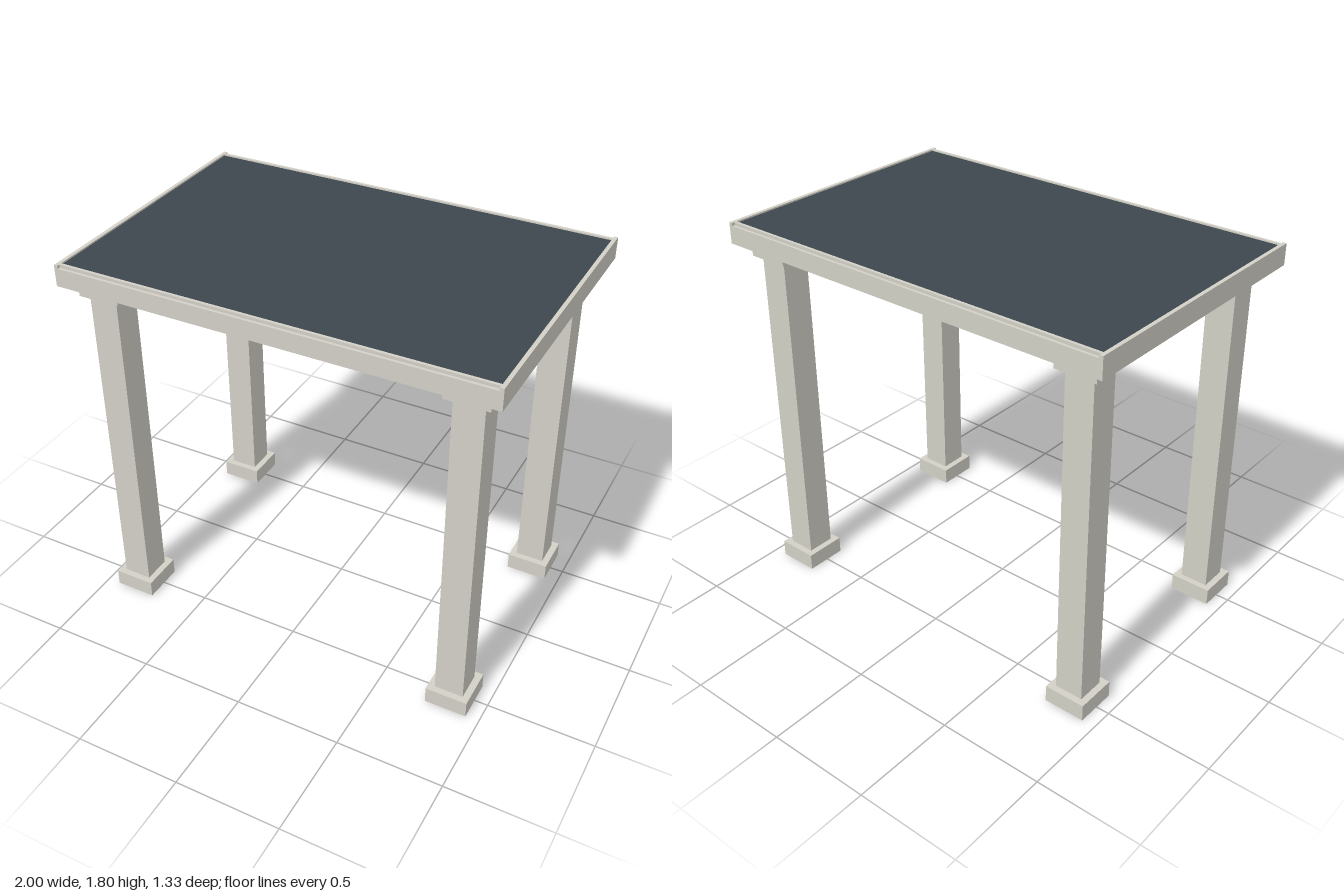
import * as THREE from 'three';

export function createModel() {
  const group = new THREE.Group();
  const stone = new THREE.MeshStandardMaterial({ color: 0xd2d0c6 });
  const slate = new THREE.MeshStandardMaterial({ color: 0x3d474d });

  // Box placed by its centre in x and z and by its bottom and top heights
  function box(parent, name, width, depth, bottom, top, x = 0, z = 0, material = stone) {
    const mesh = new THREE.Mesh(new THREE.BoxGeometry(width, top - bottom, depth), material);
    mesh.name = name;
    mesh.position.set(x, (bottom + top) / 2, z);
    parent.add(mesh);
  }

  // Four square columns, each with a plinth and a capital
  for (const sx of [-1, 1]) {
    for (const sz of [-1, 1]) {
      const column = new THREE.Group();
      column.name = `${sz > 0 ? 'front' : 'back'}${sx > 0 ? 'Left' : 'Right'}Column`;
      column.position.set(sx * 0.838, 0, sz * 0.507);
      box(column, 'plinth', 0.197, 0.197, 0, 0.08);
      box(column, 'shaft', 0.135, 0.135, 0.08, 1.64);
      box(column, 'capital', 0.197, 0.197, 1.64, 1.7);
      group.add(column);
    }
  }

  // Roof slab with a thin raised rim around a dark panel
  const roof = new THREE.Group();
  roof.name = 'roof';
  box(roof, 'slab', 2, 1.33, 1.7, 1.786);
  box(roof, 'panel', 1.964, 1.276, 1.786, 1.793, 0, 0, slate);
  for (const s of [-1, 1]) {
    const z = s > 0 ? 'front' : 'back';
    const x = s > 0 ? 'left' : 'right';
    box(roof, `${x}Rim`, 0.018, 1.33, 1.786, 1.8, s * 0.991, 0);
    box(roof, `${z}Rim`, 1.964, 0.014, 1.786, 1.8, 0, s * 0.645);
  }
  group.add(roof);

  return group;
}
